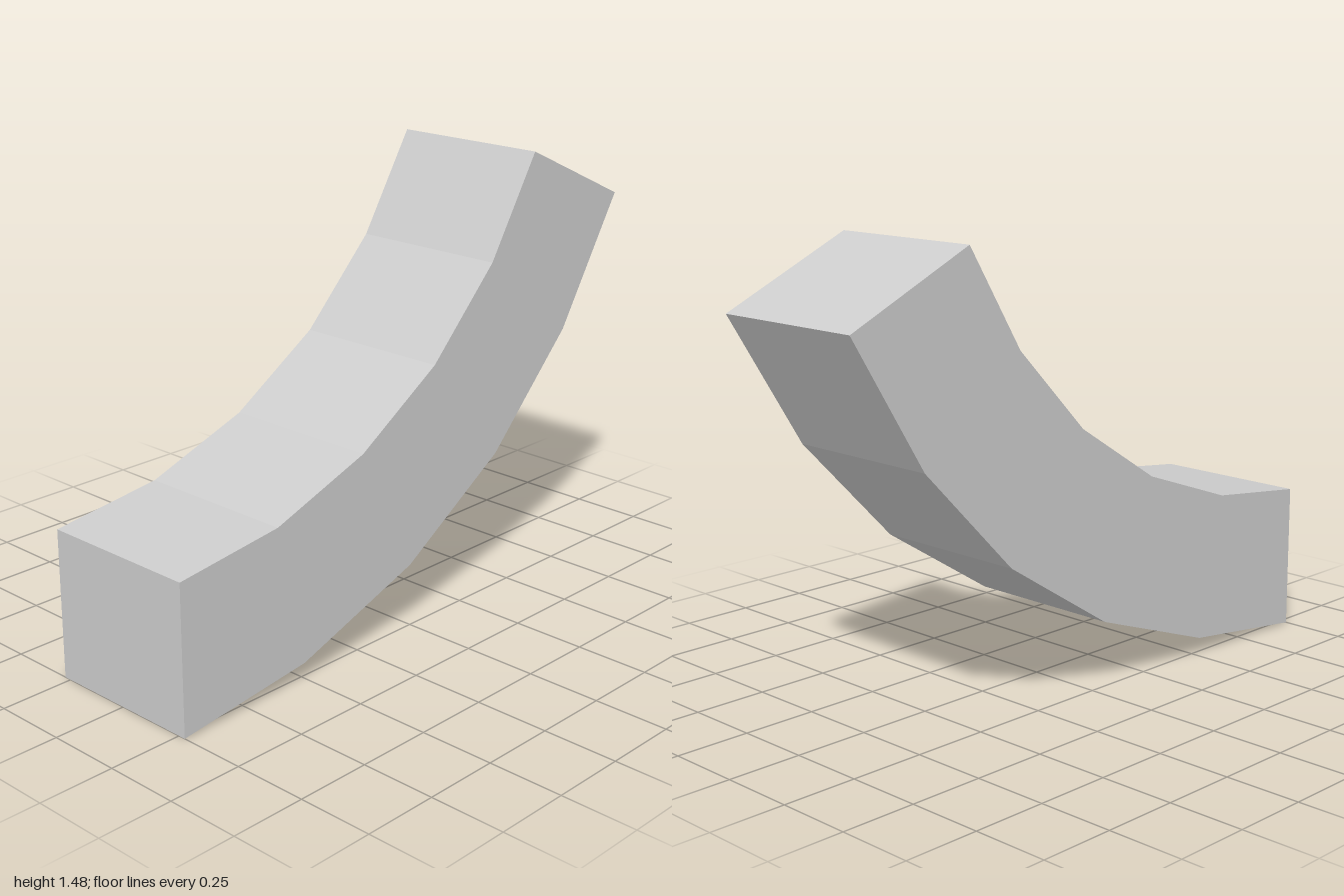
import * as THREE from 'three';

const DEPTH = 0.55;

// Lower and upper edges of the curved bar, from the low end to the raised end
const outerEdge = [[-1, 0], [-0.51, 0.06], [-0.03, 0.23], [0.39, 0.497], [0.735, 0.85], [1, 1.277]];
const innerEdge = [[-1, 0.493], [-0.615, 0.54], [-0.25, 0.67], [0.077, 0.877], [0.35, 1.155], [0.553, 1.483]];

export function createModel() {
  const group = new THREE.Group();
  group.name = 'curvedBlock';

  // Faceted arc profile, extruded to a square-edged bar
  const outline = [...outerEdge, ...[...innerEdge].reverse()].map(([x, y]) => new THREE.Vector2(x, y));
  const geometry = new THREE.ExtrudeGeometry(new THREE.Shape(outline), { depth: DEPTH, bevelEnabled: false });
  geometry.translate(0, 0, -DEPTH / 2);

  const bar = new THREE.Mesh(geometry, new THREE.MeshStandardMaterial({ color: 0xcccccc, flatShading: true }));
  bar.name = 'curvedBar';
  group.add(bar);
  return group;
}
